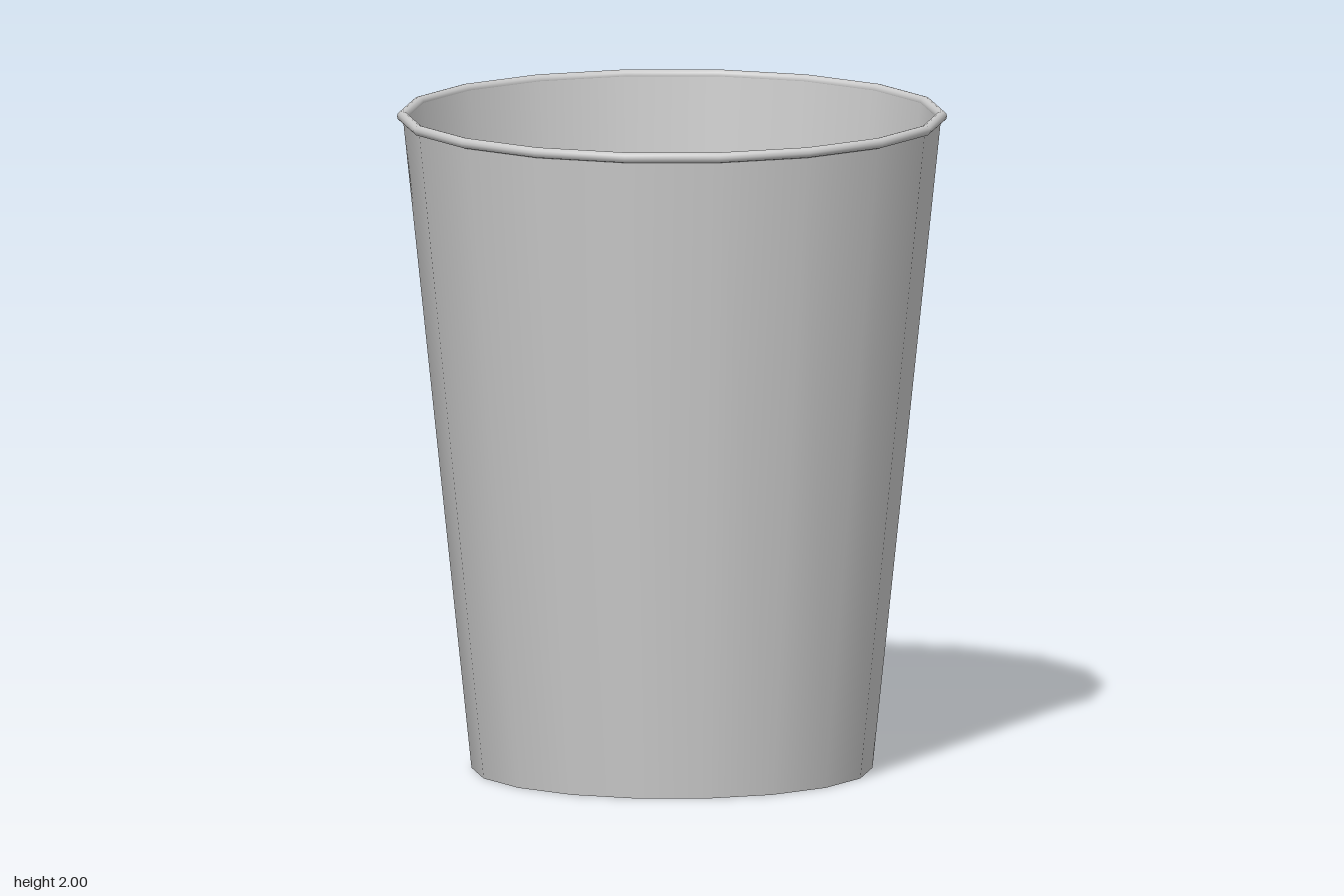
import * as THREE from 'three';

const SIDES = 18;

export function createModel() {
  const group = new THREE.Group();
  const material = new THREE.MeshStandardMaterial({ color: 0xcccccc });

  const add = (name, geometry, y = 0, tilt = 0) => {
    const mesh = new THREE.Mesh(geometry, material);
    mesh.name = name;
    mesh.position.y = y;
    mesh.rotation.x = tilt;
    group.add(mesh);
  };

  // Tapered wall surface; corners start on the x axis
  const wall = (...points) => new THREE.LatheGeometry(
    points.map(([r, y]) => new THREE.Vector2(r, y)), SIDES, Math.PI / 2);

  // Outer wall runs upward to face out, inner wall downward to face in
  add('outerWall', wall([0.603, 0], [0.81, 1.984]));
  add('innerWall', wall([0.796, 1.984], [0.59, 0.012]));

  // Floor inside the cup and its underside
  add('floor', new THREE.CircleGeometry(0.59, SIDES), 0.012, -Math.PI / 2);
  add('base', new THREE.CircleGeometry(0.603, SIDES), 0, Math.PI / 2);

  // Rolled rim
  add('rim', new THREE.TorusGeometry(0.811, 0.016, 12, SIDES), 1.984, -Math.PI / 2);

  return group;
}
